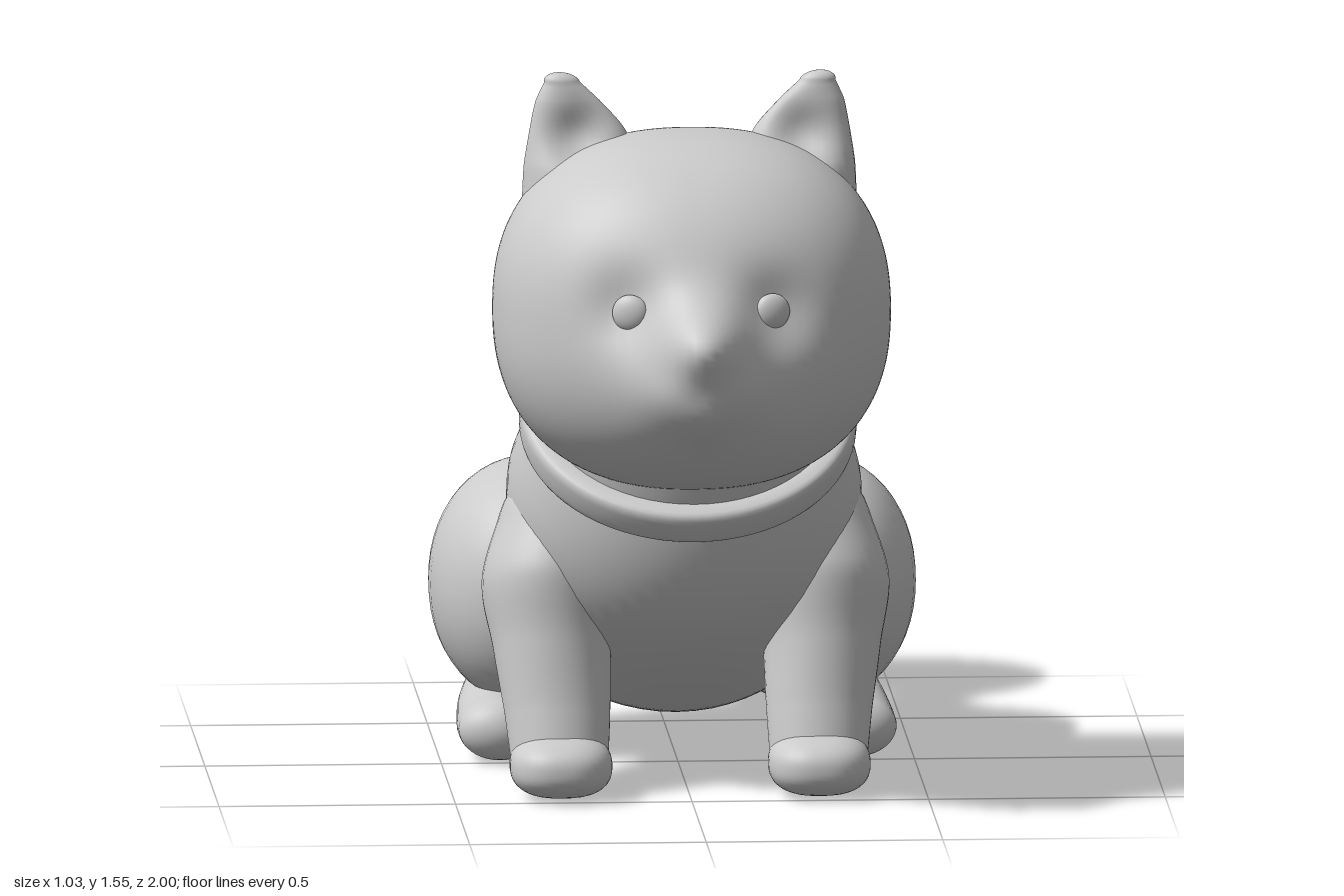
import * as THREE from 'three';
import { mergeVertices } from 'three/addons/utils/BufferGeometryUtils.js';

const material = new THREE.MeshStandardMaterial({ color: 0xcccccc, roughness: 0.8 });

// Weld seams and poles, then shade smoothly
function smooth(geometry) {
  geometry.deleteAttribute('normal');
  geometry.deleteAttribute('uv');
  const welded = mergeVertices(geometry, 1e-5);
  welded.computeVertexNormals();
  return welded;
}

// Move every vertex by a rule
function reshape(geometry, rule) {
  const pos = geometry.attributes.position;
  const v = new THREE.Vector3();
  for (let i = 0; i < pos.count; i++) {
    v.fromBufferAttribute(pos, i);
    rule(v);
    pos.setXYZ(i, v.x, v.y, v.z);
  }
  return smooth(geometry);
}

// Rounded blob; power above 2 makes it boxier
function blob([cx, cy, cz], [rx, ry, rz], power = 2, rule = () => {}, detail = 40) {
  return reshape(new THREE.SphereGeometry(1, detail, Math.round(detail * 0.7)), (v) => {
    const sum = ['x', 'y', 'z'].reduce((s, k) => s + Math.abs(v[k]) ** power, 0);
    v.multiplyScalar(sum ** (-1 / power));
    v.set(cx + v.x * rx, cy + v.y * ry, cz + v.z * rz);
    rule(v);
  });
}

// Loft through [x, y, z, halfWidth, halfDepth] sections, with domed ends
function loft(sections, capStart, capEnd, around = 40, along = 40) {
  const path = new THREE.CatmullRomCurve3(sections.map((s) => new THREE.Vector3(s[0], s[1], s[2])));
  const sizes = new THREE.CatmullRomCurve3(sections.map((s) => new THREE.Vector3(s[3], s[4], 0)));
  const rings = [];
  const capSteps = 8;
  const addRing = (t, push, shrink) => rings.push({
    centre: path.getPoint(t).addScaledVector(path.getTangent(t), push),
    tangent: path.getTangent(t), size: sizes.getPoint(t).multiplyScalar(shrink),
  });
  for (let i = 0; i < capSteps; i++) {
    const a = (1 - i / capSteps) * Math.PI / 2;
    addRing(0, -capStart * Math.sin(a), Math.cos(a));
  }
  for (let i = 0; i <= along; i++) addRing(i / along, 0, 1);
  for (let i = 1; i <= capSteps; i++) {
    const a = (i / capSteps) * Math.PI / 2;
    addRing(1, capEnd * Math.sin(a), Math.cos(a));
  }
  const u = new THREE.Vector3(1, 0, 0);
  const points = [];
  const index = [];
  rings.forEach(({ centre, tangent, size }, i) => {
    const v = tangent.clone().cross(u).normalize();
    for (let j = 0; j < around; j++) {
      const a = (j / around) * Math.PI * 2;
      const p = centre.clone().addScaledVector(u, size.x * Math.cos(a)).addScaledVector(v, size.y * Math.sin(a));
      points.push(p.x, p.y, p.z);
      if (i === rings.length - 1) continue;
      const k = i * around + j;
      const next = i * around + (j + 1) % around;
      index.push(k, next, k + around, next, next + around, k + around);
    }
  });
  const geometry = new THREE.BufferGeometry();
  geometry.setAttribute('position', new THREE.Float32BufferAttribute(points, 3));
  geometry.setIndex(index);
  return smooth(geometry);
}

// Soft bumps on the face: [x, y, spreadX, spreadY, height]
const faceBumps = [
  [0, 0.93, 0.14, 0.14, 0.085],
  [0, 1.06, 0.065, 0.055, 0.09],
  [-0.065, 0.945, 0.045, 0.04, 0.02],
  [0.065, 0.945, 0.045, 0.04, 0.02],
  [0, 0.89, 0.045, 0.035, 0.025],
  [-0.15, 1.11, 0.06, 0.06, -0.035],
  [0.15, 1.11, 0.06, 0.06, -0.035],
];
function shapeFace(v) {
  const facing = THREE.MathUtils.smoothstep(v.z, 0.5, 0.68);
  let push = 0;
  for (const [x, y, sx, sy, height] of faceBumps) {
    push += height * Math.exp(-0.5 * (((v.x - x) / sx) ** 2 + ((v.y - y) / sy) ** 2));
  }
  v.z += push * facing;
}

export function createModel() {
  const model = new THREE.Group();
  model.name = 'dog';
  const add = (name, geometry, parent = model) => {
    const mesh = new THREE.Mesh(geometry, material);
    mesh.name = name;
    parent.add(mesh);
    return mesh;
  };

  // Torso from neck to rump
  add('body', loft([
    [0, 0.92, 0.41, 0.30, 0.28],
    [0, 0.80, 0.34, 0.325, 0.31],
    [0, 0.62, 0.21, 0.375, 0.37],
    [0, 0.49, -0.02, 0.365, 0.37],
    [0, 0.41, -0.28, 0.40, 0.335],
    [0, 0.375, -0.44, 0.33, 0.27],
  ], 0.1, 0.17, 64, 60));

  // Head with muzzle, nose and eye sockets
  add('head', blob([0, 1.06, 0.48], [0.42, 0.378, 0.368], 2.35, shapeFace, 120));

  // Collar: rounded band, tilted around the neck
  const band = [];
  for (let i = 0; i <= 24; i++) {
    const a = (i / 24) * Math.PI * 2;
    const round = (n) => Math.sign(n) * Math.abs(n) ** 0.6;
    band.push(new THREE.Vector2(0.325 + 0.032 * round(Math.cos(a)), 0.042 * round(Math.sin(a))));
  }
  const collar = add('collar', smooth(new THREE.LatheGeometry(band, 72)));
  collar.position.set(0, 0.803, 0.35);
  collar.rotation.x = 0.63;
  collar.scale.z = 0.95;

  // Curled tail, fat in the middle and pointed at the tip
  add('tail', loft([
    [0, 0.42, -0.52, 0.11, 0.12],
    [0, 0.44, -0.68, 0.13, 0.14],
    [0, 0.54, -0.79, 0.19, 0.19],
    [0, 0.68, -0.785, 0.232, 0.21],
    [0, 0.79, -0.70, 0.215, 0.17],
    [0, 0.825, -0.60, 0.155, 0.115],
    [0, 0.79, -0.51, 0.08, 0.07],
  ], 0.05, 0.075, 48, 56));

  for (const side of [1, -1]) {
    const label = side > 0 ? 'left' : 'right';
    const m = (sections) => sections.map(([x, ...rest]) => [x * side, ...rest]);

    // Ear, hollowed a little at the front
    const ear = loft(m([
      [0.215, 1.25, 0.40, 0.14, 0.12],
      [0.232, 1.36, 0.405, 0.118, 0.088],
      [0.237, 1.43, 0.41, 0.102, 0.056],
      [0.258, 1.495, 0.413, 0.068, 0.036],
      [0.270, 1.535, 0.415, 0.038, 0.023],
    ]), 0.02, 0.022, 32, 28);
    add(label + 'Ear', reshape(ear, (v) => {
      const hollow = Math.exp(-0.5 * (((v.x - side * 0.235) / 0.04) ** 2 + ((v.y - 1.42) / 0.045) ** 2));
      v.z -= 0.035 * hollow * THREE.MathUtils.smoothstep(v.z, 0.41, 0.45);
    }));

    // Eye
    const eye = add(label + 'Eye', blob([0, 0, 0], [0.039, 0.039, 0.02], 2, undefined, 28));
    eye.position.set(side * 0.15, 1.11, 0.825);
    eye.rotation.y = side * 0.3;

    // Front leg and paw
    const front = new THREE.Group();
    front.name = label + 'FrontLeg';
    model.add(front);
    add(label + 'Foreleg', loft(m([
      [0.25, 0.58, 0.22, 0.14, 0.16],
      [0.285, 0.45, 0.26, 0.145, 0.175],
      [0.285, 0.31, 0.315, 0.125, 0.13],
      [0.277, 0.18, 0.365, 0.112, 0.098],
      [0.274, 0.09, 0.395, 0.104, 0.088],
    ]), 0.12, 0.07), front);
    add(label + 'FrontPaw', blob([side * 0.273, 0.075, 0.43], [0.108, 0.066, 0.12], 2.5), front);

    // Hind leg: haunch and long foot
    const hind = new THREE.Group();
    hind.name = label + 'HindLeg';
    model.add(hind);
    add(label + 'Haunch', blob([side * 0.29, 0.36, -0.21], [0.225, 0.265, 0.275], 2.1), hind);
    add(label + 'HindFoot', loft(m([
      [0.375, 0.077, -0.01, 0.088, 0.066],
      [0.372, 0.078, -0.10, 0.09, 0.07],
      [0.345, 0.10, -0.27, 0.10, 0.09],
      [0.30, 0.16, -0.38, 0.10, 0.11],
    ]), 0.06, 0.08), hind);
  }
  return model;
}
